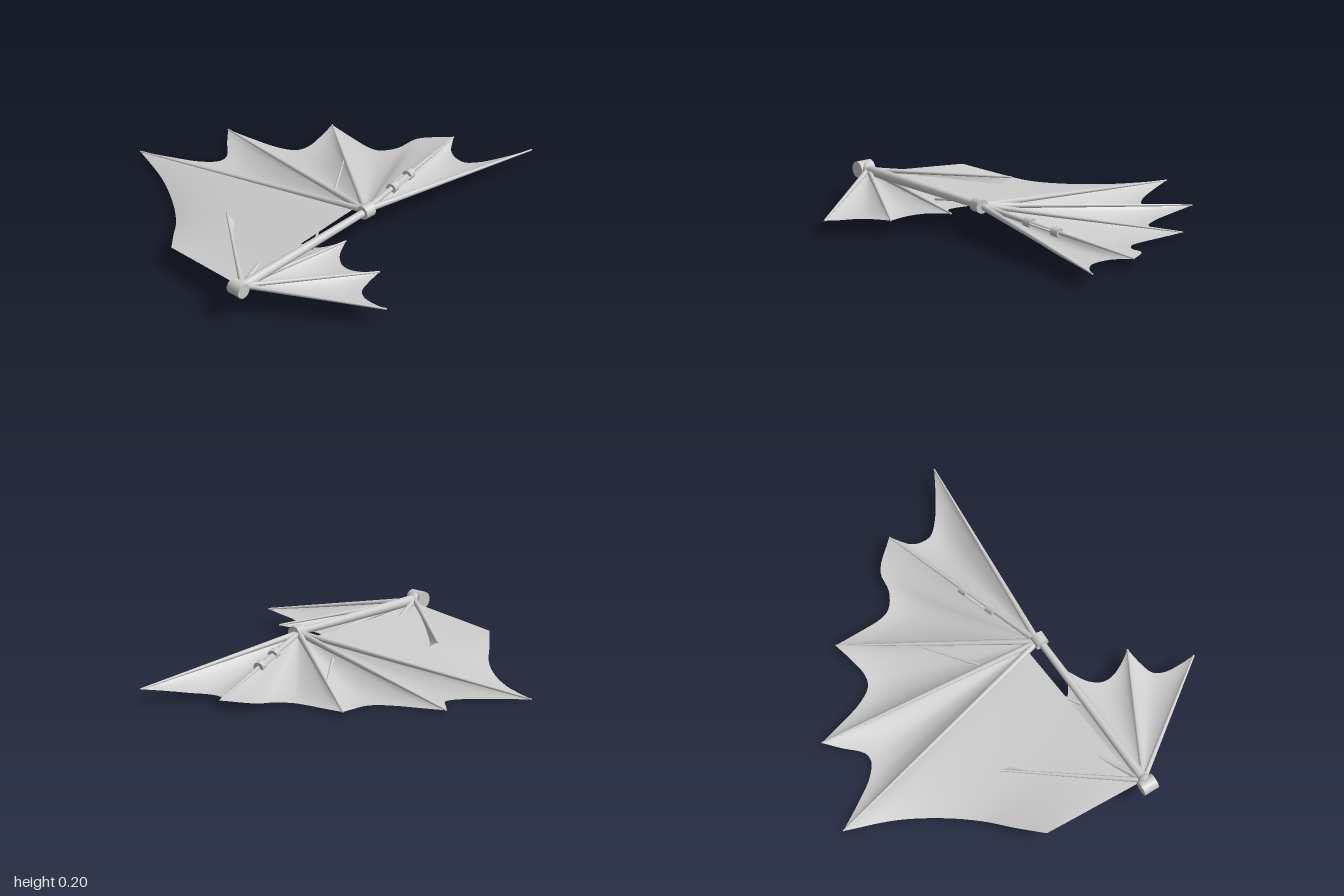
import * as THREE from 'three';

const grey = new THREE.MeshStandardMaterial({ color: 0xcccccc, side: THREE.DoubleSide });
grey.name = 'light grey';

const V = (a) => new THREE.Vector3(...a);

// Tapered bone between two points
function bone(name, from, to, r0, r1, open = false) {
  const a = V(from), b = V(to), d = b.clone().sub(a);
  const mesh = new THREE.Mesh(new THREE.CylinderGeometry(r1, r0, d.length(), 14, 1, open), grey);
  mesh.name = name;
  mesh.position.copy(a).add(b).multiplyScalar(0.5);
  mesh.quaternion.setFromUnitVectors(new THREE.Vector3(0, 1, 0), d.normalize());
  return mesh;
}

// Skin stretched from an inner edge to a scalloped rim, sagging between its bones
function membrane(name, innerA, innerB, rim, sag) {
  const curve = new THREE.CatmullRomCurve3(rim.map(V), false, 'centripetal');
  const a = V(innerA), b = V(innerB), nt = 24, ns = 14, pos = [], idx = [];
  for (let i = 0; i <= nt; i++) {
    const t = i / nt, p = a.clone().lerp(b, t), q = curve.getPoint(t);
    for (let j = 0; j <= ns; j++) {
      const s = j / ns, v = p.clone().lerp(q, s);
      v.y -= sag * s * (1 - s ** 5) * Math.sqrt(Math.sin(Math.PI * Math.min(t, 0.99999)));
      pos.push(v.x, v.y, v.z);
      if (i < nt && j < ns) {
        const k = i * (ns + 1) + j, n = k + ns + 1;
        idx.push(k, k + 1, n, k + 1, n + 1, n);
      }
    }
  }
  const g = new THREE.BufferGeometry();
  g.setAttribute('position', new THREE.Float32BufferAttribute(pos, 3));
  g.setIndex(idx);
  g.computeVertexNormals();
  const mesh = new THREE.Mesh(g, grey);
  mesh.name = name;
  return mesh;
}

// Adds height to flat rim points: straight between the tips, lowered in the middle
function scallop(tipA, pts, tipB, drop) {
  const mid = pts.map(([x, z], i) => {
    const t = (i + 1) / (pts.length + 1);
    return [x, tipA[1] + (tipB[1] - tipA[1]) * t - drop * Math.sin(Math.PI * t), z];
  });
  return [tipA, ...mid, tipB];
}

export function createModel() {
  const wing = new THREE.Group();
  wing.name = 'wing';
  const elbow = [-0.05, 0.165, 0.34], shoulder = [-0.93, 0.15, 0.385];

  // Shoulder joint, arm and elbow joint
  wing.add(bone('shoulderJoint', [-0.96, 0.15, 0.35], [-0.96, 0.15, 0.43], 0.04, 0.04));
  const ball = new THREE.Mesh(new THREE.SphereGeometry(0.036, 20, 14), grey);
  ball.name = 'shoulderBall';
  ball.position.set(-0.935, 0.15, 0.39);
  wing.add(ball);
  wing.add(bone('arm', [-0.94, 0.15, 0.39], [-0.05, 0.167, 0.35], 0.026, 0.018));
  wing.add(bone('elbowJoint', [-0.08, 0.167, 0.35], [-0.022, 0.167, 0.35], 0.036, 0.036));

  // Long fingers of the main wing
  const tips = [
    [-0.315, 0.015, -0.96], [0.125, 0.018, -0.8], [0.51, 0.025, -0.47],
    [0.83, 0.052, 0.05], [1, 0.075, 0.42],
  ];
  tips.forEach((t, i) => wing.add(bone('finger' + (i + 1), elbow, t, 0.016, 0.004)));

  // Skin between the long fingers
  const edges = [
    [[-0.22, -0.8], [-0.15, -0.7], [-0.08, -0.645], [-0.03, -0.65], [0.05, -0.73]],
    [[0.16, -0.66], [0.2, -0.53], [0.25, -0.45], [0.31, -0.43], [0.41, -0.445]],
    [[0.507, -0.33], [0.51, -0.2], [0.53, -0.15], [0.6, -0.1], [0.71, -0.08]],
    [[0.74, 0.13], [0.73, 0.22], [0.78, 0.28], [0.87, 0.345]],
  ];
  const drops = [0.015, 0.016, 0.022, 0.03];
  edges.forEach((e, i) => wing.add(membrane('fingerSkin' + (i + 1), elbow, elbow,
    scallop(tips[i], e, tips[i + 1], drops[i]), 0.045)));

  // Broad skin between the first finger and the shoulder
  wing.add(membrane('armSkin', [-0.06, 0.15, 0.275], [-0.925, 0.135, 0.355], [
    tips[0], [-0.41, 0.016, -0.71], [-0.53, 0.022, -0.51], [-0.65, 0.036, -0.365],
    [-0.77, 0.065, -0.26], [-0.89, 0.1, -0.15],
  ], -0.02));
  wing.add(membrane('innerSkin', elbow, elbow,
    [[-0.06, 0.15, 0.275], [-0.08, 0.142, 0.16], [-0.105, 0.131, 0.05]], 0));

  // Small rear fan at the shoulder
  const fan = [
    [-0.5, 0.12, -0.165], [-0.3, 0.078, 0.08], [-0.23, 0.09, 0.39],
    [-0.3, 0.09, 0.7], [-0.5, 0.085, 0.955],
  ];
  const outer = [[-0.5, 0.88], [-0.49, 0.79], [-0.46, 0.74], [-0.39, 0.715]];
  const inner = [[-0.34, 0.64], [-0.37, 0.57], [-0.37, 0.51], [-0.33, 0.45]];
  const flip = (p) => p.map(([x, z]) => [x, 0.785 - z]);
  const fanEdges = [flip(outer), flip(inner),
    [...inner].reverse(), [...outer].reverse()];
  fan.forEach((t, i) => wing.add(bone('fanBone' + (i + 1), shoulder, t, 0.013, 0.005)));
  fanEdges.forEach((e, i) => wing.add(membrane('fanSkin' + (i + 1), shoulder, shoulder,
    scallop(fan[i], e, fan[i + 1], i === 0 ? 0.045 : 0.02), i === 0 ? 0.05 : 0.025)));

  // Thin spines lying on the skin
  wing.add(bone('spine1', [-0.42, 0.115, 0.35], [-0.23, 0.125, 0.22], 0.008, 0.003));
  wing.add(bone('spine2', [0.02, 0.1, 0.05], [0.28, 0.075, -0.15], 0.008, 0.003));

  // Clamp on the fourth finger: two collars joined by a thin plate
  const along = (f) => elbow.map((c, k) => c + (tips[3][k] - c) * f);
  for (const [i, f] of [0.31, 0.49].entries()) {
    wing.add(bone('collar' + (i + 1), along(f - 0.02), along(f + 0.025), 0.026, 0.026));
  }
  const a = V(along(0.3)), b = V(along(0.51)), len = a.distanceTo(b);
  const plate = new THREE.Mesh(new THREE.BoxGeometry(0.05, 0.006, len), grey);
  plate.name = 'clampPlate';
  plate.position.copy(a).add(b).multiplyScalar(0.5);
  plate.lookAt(b);
  wing.add(plate);

  return wing;
}
